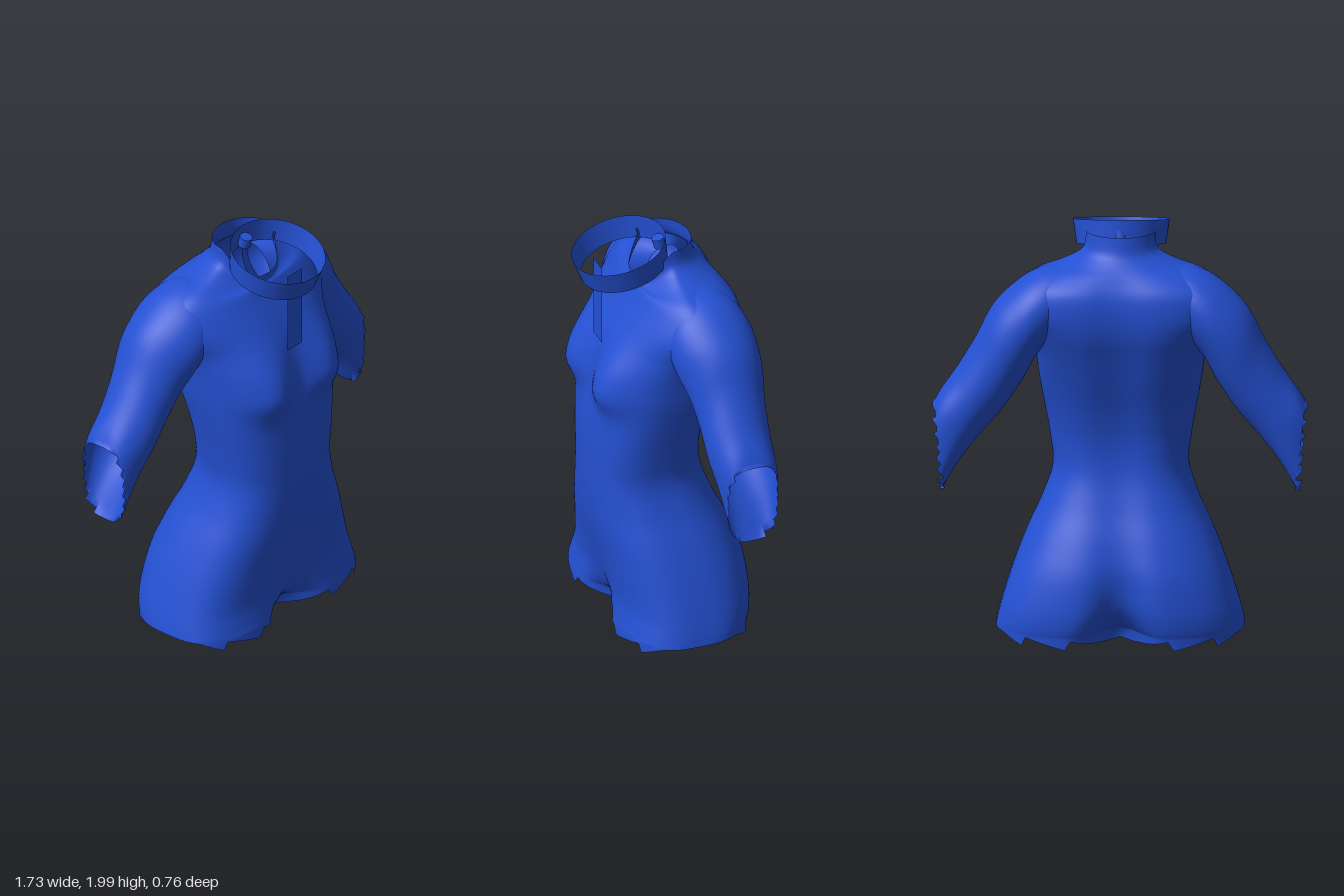
import * as THREE from 'three';

const blue = new THREE.MeshStandardMaterial({ color: 0x2450d2, side: THREE.DoubleSide });
blue.name = 'blue cloth';

const SEG = 120;
const { lerp, clamp, smoothstep } = THREE.MathUtils;
const frac = (v) => v - Math.floor(v);
const bell = (v, s) => Math.exp(-((v / s) ** 2));
const power = (v, e) => Math.sign(v) * Math.abs(v) ** e;

// Smooth sample of a table of rows at fractional row t
function sample(rows, t) {
  const i = Math.min(Math.floor(t), rows.length - 2), u = t - i;
  const row = (k) => rows[clamp(k, 0, rows.length - 1)];
  return rows[i].map((p1, c) => {
    const p0 = row(i - 1)[c], p2 = row(i + 1)[c], p3 = row(i + 2)[c];
    const m1 = (p2 - p0) / 2, m2 = (p3 - p1) / 2, u2 = u * u, u3 = u2 * u;
    return (2 * u3 - 3 * u2 + 1) * p1 + (u3 - 2 * u2 + u) * m1 + (3 * u2 - 2 * u3) * p2 + (u3 - u2) * m2;
  });
}

// Closed loops joined into an open-ended tube
function loft(count, point) {
  const pos = [], index = [];
  for (let r = 0; r <= count; r++)
    for (let i = 0; i < SEG; i++) pos.push(...point(r / count, (i / SEG) * Math.PI * 2));
  for (let r = 0; r < count; r++)
    for (let i = 0; i < SEG; i++) {
      const a = r * SEG + i, b = r * SEG + (i + 1) % SEG;
      index.push(a, b, b + SEG, a, b + SEG, a + SEG);
    }
  const g = new THREE.BufferGeometry();
  g.setAttribute('position', new THREE.Float32BufferAttribute(pos, 3));
  g.setIndex(index);
  g.computeVertexNormals();
  return g;
}

// Torso rows: height, half width, front z, back z, drop at the front, crotch pinch
const torsoRows = [
  [0.06, 0.575, 0.288, -0.375, 0, 0.55],
  [0.11, 0.565, 0.277, -0.388, 0, 0.3],
  [0.2, 0.54, 0.267, -0.392, 0, 0.1],
  [0.35, 0.49, 0.285, -0.372, 0, 0.02],
  [0.5, 0.43, 0.31, -0.318, 0, 0],
  [0.65, 0.36, 0.325, -0.25, 0, 0],
  [0.8, 0.315, 0.33, -0.2, 0, 0],
  [0.95, 0.328, 0.33, -0.19, 0, 0],
  [1.1, 0.353, 0.318, -0.215, 0, 0],
  [1.25, 0.378, 0.28, -0.26, 0, 0],
  [1.4, 0.395, 0.255, -0.305, 0, 0],
  [1.5, 0.425, 0.23, -0.335, 0, 0],
  [1.6, 0.49, 0.187, -0.345, 0, 0],
  [1.7, 0.47, 0.135, -0.332, 0, 0],
  [1.77, 0.39, 0.112, -0.285, 0.02, 0],
  [1.82, 0.255, 0.103, -0.235, 0.06, 0],
  [1.87, 0.172, 0.1, -0.198, 0.1, 0],
  [1.95, 0.16, 0.1, -0.183, 0.15, 0],
];

function torsoPoint(v, a) {
  const [y, w, f, b, drop, pinch] = sample(torsoRows, v * (torsoRows.length - 1));
  const s = Math.sin(a), c = Math.cos(a);
  const neck = smoothstep(y, 1.7, 1.85);
  // Squarer at the thighs, rounder at the shoulders and neck
  const frontN = lerp(lerp(3.3, 2.7, smoothstep(y, 0.1, 0.7)), 2, smoothstep(y, 1.35, 1.6));
  const backN = lerp(lerp(2.5, 3, smoothstep(y, 1.2, 1.5)), 2, neck);
  const n = c > 0 ? frontN : backN;
  const x = w * power(s, 2 / n);
  let z = (f + b) / 2 + ((f - b) / 2) * power(c, 2 / n);
  if (c > 0) {
    // Bust
    z += 0.098 * c ** 0.5 * bell(Math.abs(x) - 0.2, 0.16) * bell(y - 1.29, y < 1.29 ? 0.11 : 0.23) * (1 - neck);
  } else {
    // Spine groove and seat cleft
    z += (1 - neck) * (0.022 * bell(x, 0.12) + 0.045 * bell(x, 0.09) * bell(y - 0.15, 0.25));
  }
  z *= 1 - pinch * bell(x, 0.12);
  let yy = y - drop * smoothstep(z, -0.05, 0.09);
  // Torn leg hems
  if (v === 0) {
    const d = Math.abs(x);
    const tooth = d > 0.44 ? Math.min(1, (d - 0.44) / 0.1) : frac((d - 0.04) / 0.2);
    yy = d < 0.05 ? 0.02 : 0.008 + 0.05 * tooth;
  }
  return [x, yy, z];
}

// Sleeve rows: top x, top y, bottom x, bottom y, front z, back z
const sleeveRows = [
  [0.16, 1.79, 0.22, 1.52, -0.05, -0.22],
  [0.29, 1.805, 0.32, 1.45, 0.045, -0.305],
  [0.41, 1.77, 0.38, 1.39, 0.07, -0.337],
  [0.52, 1.69, 0.415, 1.33, 0.055, -0.343],
  [0.6, 1.6, 0.46, 1.25, 0.025, -0.338],
  [0.67, 1.46, 0.54, 1.13, 0.002, -0.32],
  [0.75, 1.325, 0.635, 1.015, -0.003, -0.31],
  [0.825, 1.215, 0.735, 0.89, -0.025, -0.305],
  [0.86, 1.15, 0.825, 0.74, -0.045, -0.29],
];

function sleevePoint(v, a) {
  const [tx, ty, bx, by, f, b] = sample(sleeveRows, v * (sleeveRows.length - 1));
  const e = lerp(1, 0.7, smoothstep(v, 0.75, 1));
  const k = (1 + power(Math.cos(a), e)) / 2;
  let x = lerp(bx, tx, k);
  const y = lerp(by, ty, k);
  const z = (f + b) / 2 + ((f - b) / 2) * power(Math.sin(a), e);
  // Torn cuff
  if (v === 1) x += 0.035 * frac(y / 0.058) - 0.022;
  return [x, y, z];
}

export function createModel() {
  const model = new THREE.Group();
  const add = (name, geometry, parent = model) => {
    const mesh = new THREE.Mesh(geometry, blue);
    mesh.name = name;
    parent.add(mesh);
    return mesh;
  };

  add('torso', loft(85, torsoPoint));

  const sleeve = loft(40, sleevePoint);
  add('leftSleeve', sleeve);
  add('rightSleeve', sleeve).scale.x = -1;

  // Flat strap hanging straight down through the collar
  add('chestStrap', new THREE.PlaneGeometry(0.1, 0.4)).position.set(0, 1.67, 0.268);

  // Tilted loose collar with a loop and small tabs inside the back
  const collar = new THREE.Group();
  collar.name = 'collar';
  collar.position.set(0, 1.887, 0.151);
  collar.rotation.x = 0.25;
  model.add(collar);
  add('collarBand', new THREE.CylinderGeometry(0.224, 0.207, 0.115, 48, 1, true), collar);
  add('collarLoop', new THREE.CylinderGeometry(0.03, 0.03, 0.05, 16), collar).position.set(0, -0.015, -0.19);
  for (const s of [-1, 1]) {
    const tab = add('collarTab', new THREE.BoxGeometry(0.008, 0.035, 0.008), collar);
    tab.position.set(s * 0.145, -0.02, -0.14);
  }
  return model;
}
